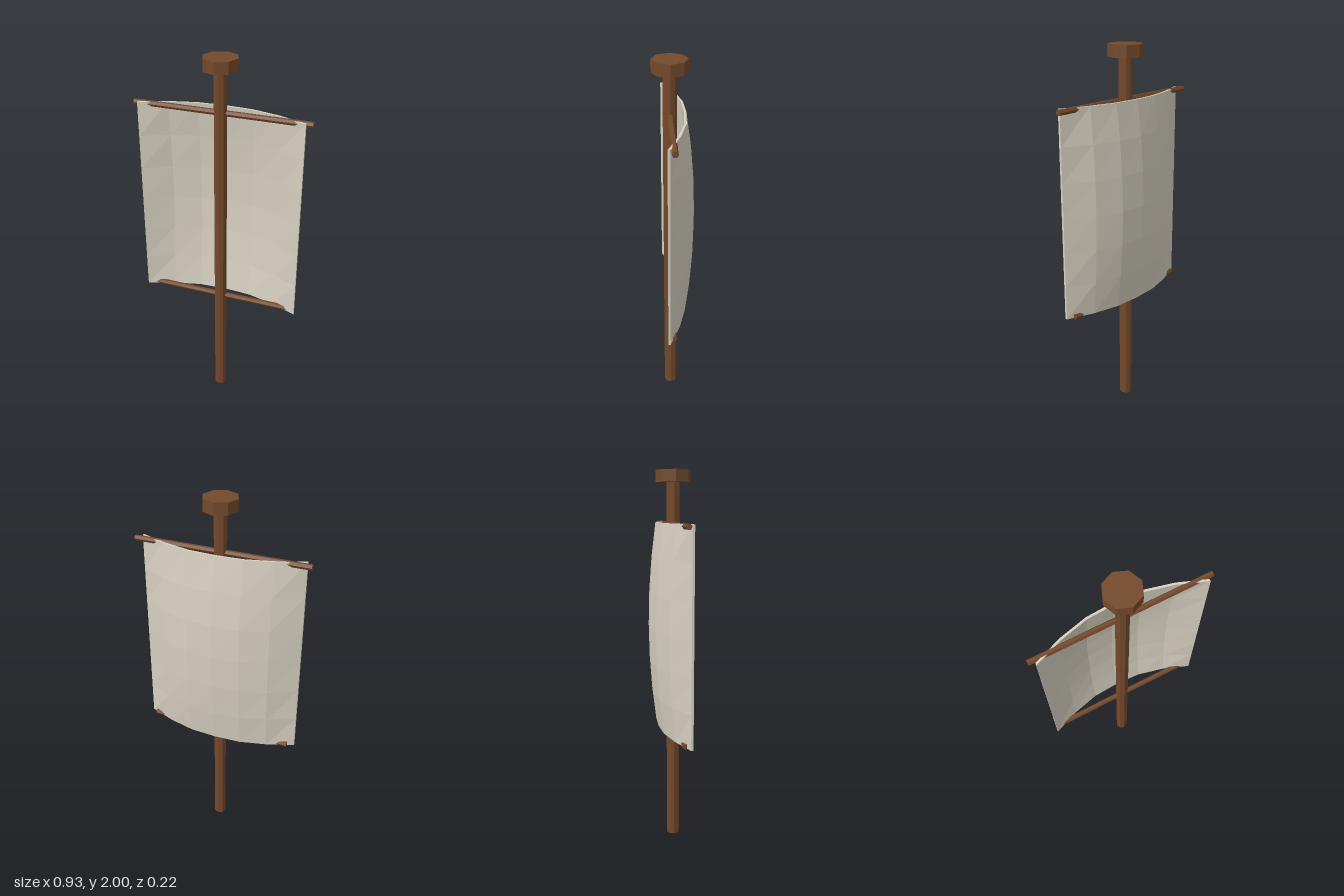
import * as THREE from 'three';

export function createModel() {
  const group = new THREE.Group();
  const wood = new THREE.MeshStandardMaterial({ name: 'brown wood', color: 0x74492b, flatShading: true });
  const cloth = new THREE.MeshStandardMaterial({ name: 'pale canvas', color: 0xd6d0c0, flatShading: true });
  const mastZ = 0.017;

  const add = (name, geometry, material, x, y, z) => {
    const mesh = new THREE.Mesh(geometry, material);
    mesh.name = name;
    mesh.position.set(x, y, z);
    group.add(mesh);
    return mesh;
  };

  // Upright mast with an octagonal cap
  add('mast', new THREE.CylinderGeometry(0.035, 0.035, 1.95, 8), wood, 0, 0.975, mastZ);
  add('mastCap', new THREE.CylinderGeometry(0.091, 0.091, 0.062, 8), wood, 0, 1.969, mastZ);

  // Crossbars: the lower one is shorter than the sail
  const yard = (name, length, y) => {
    const bar = new THREE.CylinderGeometry(0.015, 0.015, length, 6).rotateZ(Math.PI / 2);
    add(name, bar, wood, 0, y, 0.015);
  };
  yard('upperYard', 0.93, 1.724);
  yard('lowerYard', 0.8, 0.644);

  // Sail: a thin panel bowed backwards, fullest at mid height
  const width = 0.87, height = 1.1, cols = 6;
  const edgeZ = [-0.058, -0.05, -0.014, 0.042]; // depth along top and bottom edge, centre to side
  const bulge = [0.045, 0.04, 0.03, 0]; // extra depth at mid height
  const sail = new THREE.BoxGeometry(width, height, 0.012, cols, 6, 1);
  const p = sail.attributes.position;
  for (let i = 0; i < p.count; i++) {
    const col = Math.round(Math.abs(p.getX(i)) / (width / cols));
    const v = p.getY(i) / (height / 2);
    p.setZ(i, p.getZ(i) + edgeZ[col] - bulge[col] * (1 - v * v));
  }
  sail.computeVertexNormals();
  add('sail', sail, cloth, 0, 1.185, 0);

  return group;
}
